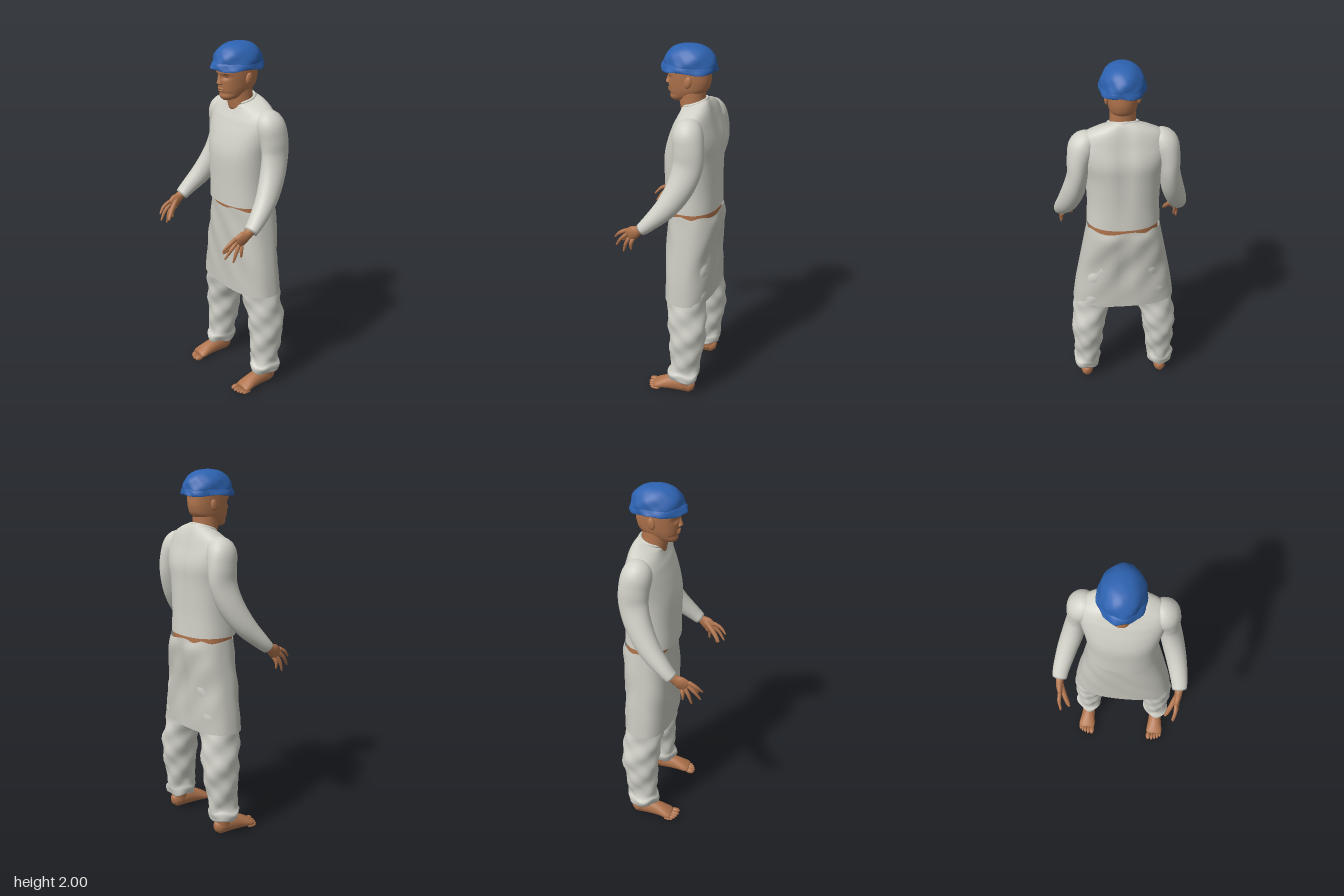
import * as THREE from 'three';

const mat = (name, color, side = THREE.FrontSide) => {
  const m = new THREE.MeshStandardMaterial({ color, side });
  m.name = name;
  return m;
};

// Bell curve of width w, used to raise or sink a surface locally
const bump = (d, w) => Math.exp(-((d / w) ** 2));

// Smooth skin over sections [x, y, z, ru, rv]; rings lie flat, or across the path when o.path is set
function loft(secs, o = {}) {
  const { n = 32, steps = 5, power = 2, path = false, open = false, warp } = o;
  const centre = new THREE.CatmullRomCurve3(secs.map(s => new THREE.Vector3(s[0], s[1], s[2])), false, 'catmullrom', 0.5);
  const radii = new THREE.CatmullRomCurve3(secs.map(s => new THREE.Vector3(s[3], s[4], 0)), false, 'catmullrom', 0.5);
  const rows = (secs.length - 1) * steps, pos = [], idx = [];
  const sup = c => Math.sign(c) * Math.abs(c) ** (2 / power);
  for (let i = 0; i <= rows; i++) {
    const k = i / rows, c = centre.getPoint(k), r = radii.getPoint(k);
    const t = path ? centre.getTangent(k) : new THREE.Vector3(0, 1, 0);
    const u = new THREE.Vector3(1, 0, 0).addScaledVector(t, -t.x).normalize();
    const v = u.clone().cross(t);
    for (let j = 0; j < n; j++) {
      const a = j / n * Math.PI * 2;
      const p = c.clone().addScaledVector(u, r.x * sup(Math.cos(a))).addScaledVector(v, r.y * sup(Math.sin(a)));
      if (warp) warp(p, a, k);
      pos.push(p.x, p.y, p.z);
      if (i < rows) {
        const A = i * n + j, B = i * n + (j + 1) % n;
        idx.push(A, A + n, B, B, A + n, B + n);
      }
    }
  }
  if (!open) {
    const s = centre.getPoint(0), e = centre.getPoint(1), S = pos.length / 3, E = S + 1, last = rows * n;
    pos.push(s.x, s.y, s.z, e.x, e.y, e.z);
    for (let j = 0; j < n; j++) {
      const q = (j + 1) % n;
      idx.push(S, j, q, E, last + q, last + j);
    }
  }
  const g = new THREE.BufferGeometry();
  g.setAttribute('position', new THREE.Float32BufferAttribute(pos, 3));
  g.setIndex(idx);
  g.computeVertexNormals();
  return g;
}

export function createModel() {
  const root = new THREE.Group();
  const skin = mat('skin', 0xb0744d), dark = mat('brow brown', 0x75482f);
  const shirt = mat('shirt off-white', 0xd0d0c7, THREE.DoubleSide);
  const apronMat = mat('apron grey', 0xc6c6bd, THREE.DoubleSide);
  const pants = mat('trouser off-white', 0xd0d0c8, THREE.DoubleSide);
  const blue = mat('cap blue', 0x2d62b0, THREE.DoubleSide);
  const add = (name, geo, m) => {
    const mesh = new THREE.Mesh(geo, m);
    mesh.name = name;
    root.add(mesh);
    return mesh;
  };
  const blob = (name, m, x, y, z, rx, ry, rz) => {
    const b = add(name, new THREE.SphereGeometry(1, 16, 12), m);
    b.position.set(x, y, z);
    b.scale.set(rx, ry, rz);
    return b;
  };

  // Shirt body, with a shallow groove along the spine and a neckline that dips at the front
  add('shirtBody', loft([
    [0, 1.12, -0.1, 0.2, 0.15], [0, 1.25, -0.098, 0.195, 0.15], [0, 1.4, -0.098, 0.205, 0.152],
    [0, 1.5, -0.11, 0.225, 0.142], [0, 1.58, -0.115, 0.235, 0.117], [0, 1.64, -0.115, 0.21, 0.094],
    [0, 1.675, -0.11, 0.145, 0.078], [0, 1.695, -0.1, 0.082, 0.068]
  ], { n: 48, power: 2.3, open: true, warp: (p, a, k) => {
    if (p.z < -0.15) p.z += 0.016 * bump(p.x, 0.04) * Math.sin(Math.PI * k);
    if (p.y > 1.6) p.y -= (p.z + 0.1) * 0.35 * (p.y - 1.6) / 0.09;
  } }), shirt);
  const collar = add('collar', new THREE.TorusGeometry(0.076, 0.009, 8, 40), shirt);
  collar.position.set(0, 1.695, -0.1);
  collar.rotation.x = Math.PI / 2 + 0.33;
  collar.scale.y = 0.88;

  // Bare waist showing between shirt and apron
  add('waist', loft([[0, 1.03, -0.11, 0.19, 0.132], [0, 1.15, -0.1, 0.19, 0.138]], { n: 40, power: 2.3 }), skin);

  // Apron wrapped around the hips, with an uneven upper edge
  add('apron', loft([
    [0, 0.6, -0.107, 0.287, 0.138], [0, 0.72, -0.107, 0.27, 0.138], [0, 0.85, -0.106, 0.246, 0.138],
    [0, 0.97, -0.112, 0.223, 0.144], [0, 1.05, -0.115, 0.207, 0.146], [0, 1.1, -0.11, 0.198, 0.14]
  ], { n: 72, power: 2.5, open: true, warp: (p, a, k) => {
    p.y += 0.007 * Math.sin(a * 7 + Math.sin(a * 3)) * k ** 8;
    p.z += 0.004 * Math.sin(p.x * 34 + p.y * 25) * Math.sin(Math.PI * k);
    if (p.z < -0.18) p.z += 0.014 * bump(p.x, 0.045) * Math.sin(Math.PI * k);
  } }), apronMat);

  // Head
  add('neck', loft([[0, 1.64, -0.095, 0.075, 0.068], [0, 1.7, -0.085, 0.068, 0.07], [0, 1.78, -0.08, 0.066, 0.075]]), skin);
  add('head', loft([
    [0, 1.698, -0.005, 0.022, 0.026], [0, 1.715, -0.024, 0.05, 0.06], [0, 1.755, -0.058, 0.069, 0.1],
    [0, 1.8, -0.067, 0.077, 0.114], [0, 1.85, -0.067, 0.081, 0.118], [0, 1.9, -0.068, 0.08, 0.114],
    [0, 1.95, -0.068, 0.055, 0.085]
  ], { n: 48, steps: 7, power: 2.2, warp: p => {
    // Eye sockets, brow ridge and the hollow above the chin
    if (p.z < 0) return;
    p.z -= 0.014 * bump(Math.abs(p.x) - 0.034, 0.018) * bump(p.y - 1.828, 0.012);
    p.z += 0.005 * bump(p.y - 1.85, 0.01);
    p.z -= 0.005 * bump(p.y - 1.737, 0.008);
  } }), skin);
  add('nose', loft([
    [0, 1.783, 0.043, 0.012, 0.006], [0, 1.79, 0.047, 0.019, 0.014], [0, 1.797, 0.047, 0.016, 0.017],
    [0, 1.82, 0.044, 0.01, 0.012], [0, 1.845, 0.043, 0.01, 0.008]
  ], { n: 16 }), skin);
  blob('upperLip', skin, 0, 1.763, 0.041, 0.026, 0.005, 0.009);
  blob('lowerLip', skin, 0, 1.751, 0.04, 0.022, 0.006, 0.009);
  blob('mouthLine', dark, 0, 1.757, 0.042, 0.025, 0.0015, 0.006);

  // Soft cap: rumpled crown with a wider, uneven lower edge
  const rumple = (p, a, k) => {
    const f = 1 + (1 - k) * (0.03 * Math.sin(a * 5 + p.y * 60) + 0.018 * Math.sin(a * 11 - p.y * 90));
    p.x *= f;
    p.z = -0.07 + (p.z + 0.07) * f;
  };
  add('capCrown', loft([
    [0, 1.87, -0.068, 0.112, 0.142], [0, 1.9, -0.07, 0.114, 0.142], [0, 1.94, -0.07, 0.103, 0.13],
    [0, 1.972, -0.07, 0.08, 0.103], [0, 1.992, -0.07, 0.05, 0.065], [0, 2, -0.07, 0.012, 0.016]
  ], { n: 64, warp: rumple }), blue);
  add('capEdge', loft([
    [0, 1.866, -0.065, 0.123, 0.152], [0, 1.878, -0.066, 0.121, 0.151],
    [0, 1.9, -0.068, 0.112, 0.143], [0, 1.915, -0.07, 0.098, 0.125]
  ], { n: 64, warp: (p, a, k) => {
    rumple(p, a, k * 0.6);
    p.y += 0.005 * Math.sin(a * 4 + 1) * (1 - k);
  } }), blue);

  for (const s of [1, -1]) {
    const side = s > 0 ? 'left' : 'right';
    const part = (name, secs, m, o) => add(side + name, loft(secs.map(([x, ...r]) => [x * s, ...r]), o), m);

    // Ear, eye and brow
    blob(side + 'Ear', skin, s * 0.083, 1.815, -0.083, 0.011, 0.032, 0.02).rotation.x = -0.2;
    blob(side + 'Eye', dark, s * 0.034, 1.828, 0.026, 0.014, 0.005, 0.006);
    blob(side + 'Brow', dark, s * 0.036, 1.848, 0.036, 0.02, 0.004, 0.008).rotation.y = s * 0.4;

    // Sleeve
    part('Sleeve', [
      [0.15, 1.61, -0.115, 0.05, 0.06], [0.205, 1.585, -0.125, 0.076, 0.082], [0.232, 1.51, -0.138, 0.064, 0.083],
      [0.243, 1.42, -0.138, 0.055, 0.08], [0.264, 1.31, -0.105, 0.06, 0.073], [0.297, 1.2, -0.04, 0.056, 0.061],
      [0.325, 1.11, 0.045, 0.047, 0.043], [0.333, 1.068, 0.09, 0.041, 0.034]
    ], shirt, { path: true });

    // Hand: palm, four spread fingers and a thumb
    part('Palm', [
      [0.333, 1.085, 0.07, 0.025, 0.026], [0.331, 1.06, 0.105, 0.022, 0.027],
      [0.328, 1.042, 0.135, 0.02, 0.037], [0.322, 1.02, 0.165, 0.014, 0.036]
    ], skin, { path: true, n: 20 });
    [[0.31, 0.99, 0.252], [0.316, 0.945, 0.243], [0.328, 0.918, 0.197], [0.335, 0.94, 0.15]].forEach((tip, i) => {
      const f = (1.5 - i) * 0.019, b = [0.323, 1.026 + f * 0.75, 0.158 + f * 0.66];
      part('Finger' + (i + 1), [
        [...b, 0.011, 0.012],
        [(b[0] + tip[0]) / 2 + 0.006, (b[1] + tip[1]) / 2 + 0.005, (b[2] + tip[2]) / 2 + 0.005, 0.01, 0.01],
        [...tip, 0.005, 0.005]
      ], skin, { path: true, n: 10 });
    });
    part('Thumb', [
      [0.322, 1.055, 0.125, 0.014, 0.018], [0.298, 1.01, 0.175, 0.014, 0.014],
      [0.28, 0.975, 0.205, 0.012, 0.011], [0.269, 0.955, 0.22, 0.006, 0.006]
    ], skin, { path: true, n: 12 });

    // Trouser leg with soft folds gathered at the hem
    part('TrouserLeg', [
      [0.221, 0.092, -0.114, 0.071, 0.084], [0.221, 0.13, -0.112, 0.079, 0.092], [0.215, 0.17, -0.118, 0.07, 0.084],
      [0.21, 0.3, -0.126, 0.085, 0.097], [0.205, 0.42, -0.13, 0.094, 0.108], [0.18, 0.55, -0.115, 0.105, 0.109],
      [0.145, 0.7, -0.11, 0.12, 0.115], [0.115, 0.85, -0.11, 0.113, 0.12], [0.1, 0.98, -0.11, 0.1, 0.12]
    ], pants, { n: 40, steps: 7, warp: (p, a) => {
      const w = 0.004 * Math.sin(a * 3 + p.y * 38) + 0.003 * Math.sin(a * 5 - p.y * 55);
      p.x += Math.cos(a) * w;
      p.z += Math.sin(a) * w;
      if (p.y < 0.2) p.y += 0.006 * Math.sin(a * 4 + s);
    } });

    // Bare foot
    part('Ankle', [[0.222, 0.03, -0.125, 0.036, 0.045], [0.222, 0.09, -0.12, 0.04, 0.055], [0.22, 0.17, -0.12, 0.045, 0.055]], skin, { n: 24 });
    part('Foot', [
      [0.222, 0.036, -0.178, 0.014, 0.02], [0.222, 0.042, -0.155, 0.032, 0.042], [0.222, 0.05, -0.09, 0.038, 0.05],
      [0.223, 0.041, -0.02, 0.043, 0.041], [0.225, 0.027, 0.035, 0.051, 0.027], [0.225, 0.02, 0.06, 0.047, 0.018]
    ], skin, { path: true, n: 24, warp: p => { p.y = Math.max(p.y, 0); } });
    [[0.19, 0.076, 0.016], [0.213, 0.076, 0.011], [0.233, 0.07, 0.01], [0.25, 0.062, 0.01], [0.266, 0.05, 0.009]].forEach(([x, z, r], i) =>
      blob(side + 'Toe' + (i + 1), skin, s * x, r, z, r, r, 0.028));
  }
  return root;
}
